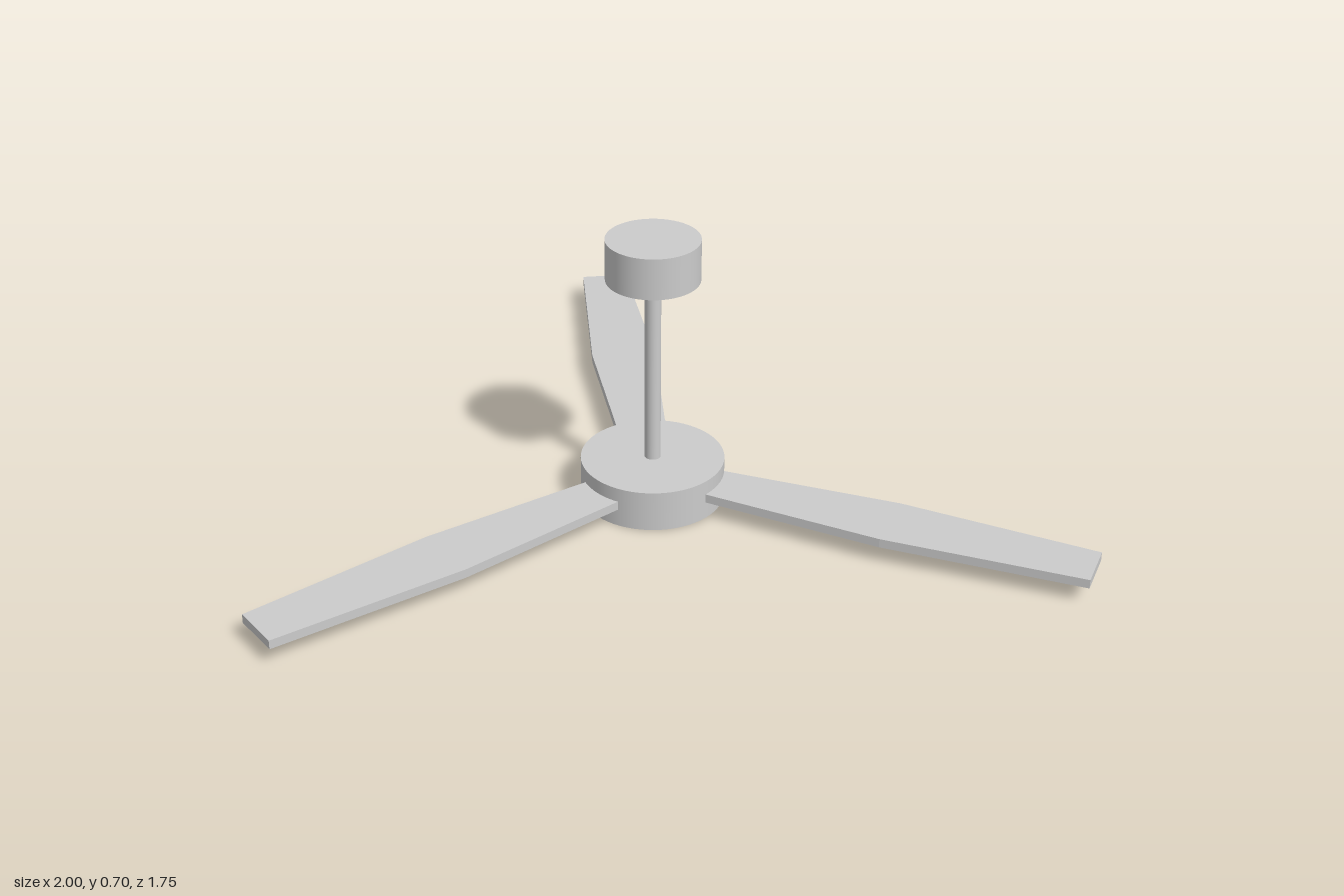
import * as THREE from 'three';

const material = new THREE.MeshStandardMaterial({ color: 0xcccccc });

function disc(name, radius, bottom, top) {
  const geometry = new THREE.CylinderGeometry(radius, radius, top - bottom, 64);
  const mesh = new THREE.Mesh(geometry, material);
  mesh.name = name;
  mesh.position.y = (bottom + top) / 2;
  return mesh;
}

// Flat blade along +x, widest near the middle
function bladeGeometry() {
  const outline = [[0.15, 0.06], [0.622, 0.087], [1.121, 0.063]];
  const near = outline.map(([r, w]) => new THREE.Vector2(r, -w));
  const far = outline.map(([r, w]) => new THREE.Vector2(r, w)).reverse();
  const geometry = new THREE.ExtrudeGeometry(new THREE.Shape([...near, ...far]), {
    depth: 0.023, bevelEnabled: false,
  });
  return geometry.rotateX(Math.PI / 2);
}

export function createModel() {
  const fan = new THREE.Group();
  fan.name = 'ceilingFan';
  fan.position.set(-0.003, 0, 0.245);

  // Motor housing, down rod and ceiling mount
  fan.add(disc('motorHousing', 0.18, 0, 0.105));
  fan.add(disc('downRod', 0.02, 0.1, 0.61));
  fan.add(disc('ceilingMount', 0.116, 0.597, 0.703));

  // Three blades: angle in degrees and sideways mounting offset
  const geometry = bladeGeometry();
  [['leftBlade', -30, 0.003], ['rightBlade', -150, -0.014], ['backBlade', 90, -0.002]]
    .forEach(([name, degrees, offset]) => {
      const arm = new THREE.Group();
      arm.name = name;
      arm.rotation.y = THREE.MathUtils.degToRad(degrees);
      const blade = new THREE.Mesh(geometry, material);
      blade.name = 'blade';
      blade.position.set(0, 0.068, offset);
      arm.add(blade);
      fan.add(arm);
    });

  const model = new THREE.Group();
  model.add(fan);
  return model;
}
